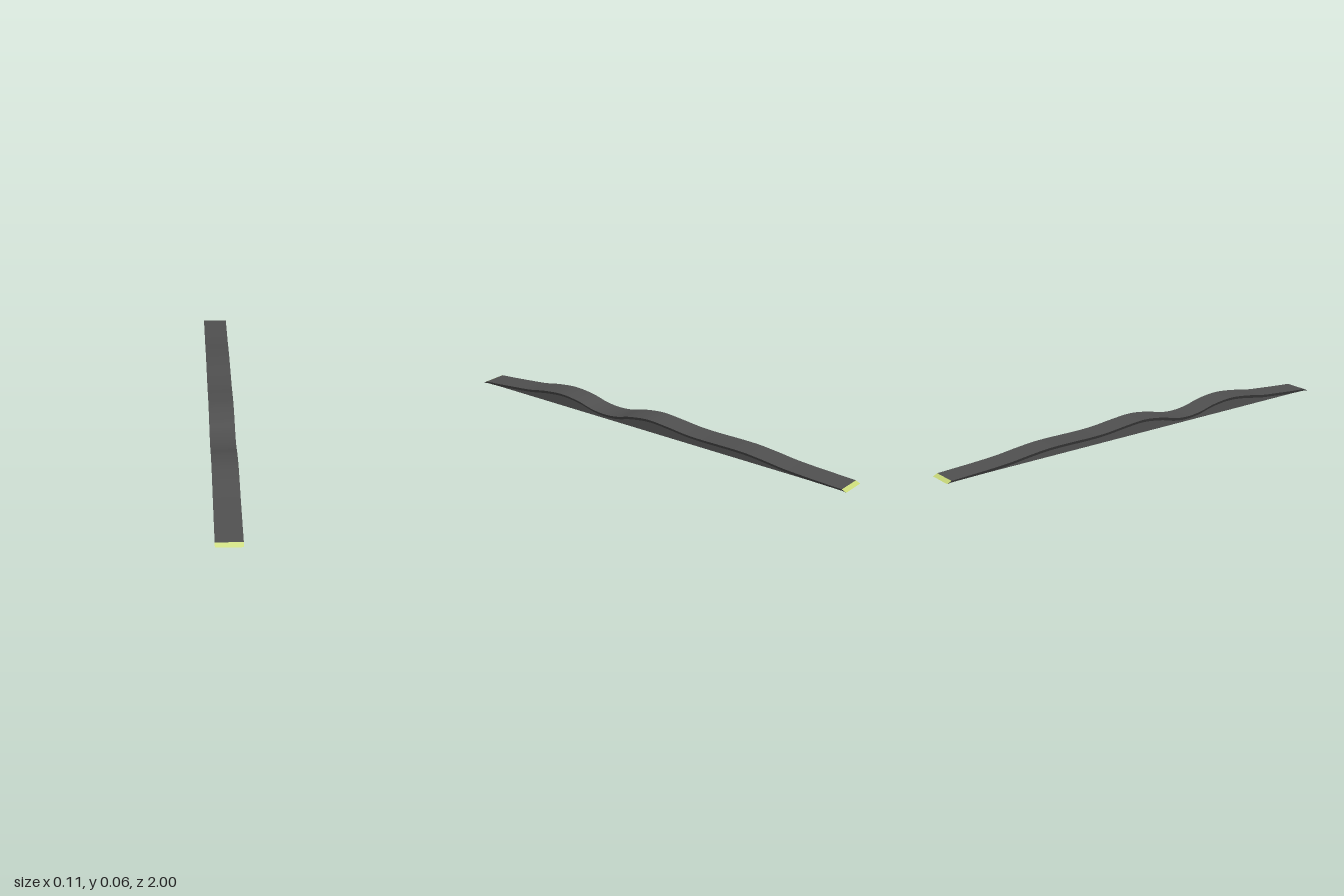
import * as THREE from 'three';

const HALF = 0.055;   // half width of the deck
const LIP = 0.015;    // height of the sloping lip under the deck edge
const INSET = 0.01;   // how far the side walls sit inside the deck edge

// Height of the deck along z, front to back
const PROFILE = [
  [0.98, 0.01], [0.9, 0.016], [0.8, 0.025], [0.7, 0.035], [0.6, 0.052], [0.5, 0.06],
  [0.4, 0.05], [0.32, 0.031], [0.25, 0.024], [0.18, 0.029], [0.1, 0.048], [0, 0.06],
  [-0.1, 0.054], [-0.2, 0.044], [-0.27, 0.041], [-0.5, 0.041], [-0.6, 0.033],
  [-0.7, 0.022], [-0.8, 0.016], [-0.9, 0.012], [-0.98, 0.009],
];

// Corners of one cross-section, clockwise seen from the front
function section(z, h) {
  const x = HALF - INSET * Math.min(1, h / LIP);
  const y = Math.max(0, h - LIP);
  return [[-HALF, h, z], [HALF, h, z], [x, y, z], [x, 0, z], [-x, 0, z], [-x, y, z]];
}

// One face strip of the cross-section swept along the length
function strip(name, sections, side, material) {
  const pos = [], index = [];
  sections.forEach((s, i) => {
    pos.push(...s[side], ...s[(side + 1) % 6]);
    if (i > 0) {
      const a = 2 * (i - 1);
      index.push(a, a + 1, a + 3, a, a + 3, a + 2);
    }
  });
  const geo = new THREE.BufferGeometry();
  geo.setAttribute('position', new THREE.Float32BufferAttribute(pos, 3));
  geo.setIndex(index);
  geo.computeVertexNormals();
  const mesh = new THREE.Mesh(geo, material);
  mesh.name = name;
  return mesh;
}

export function createModel() {
  const grey = new THREE.MeshStandardMaterial({ color: 0x505050 });
  grey.name = 'dark grey';
  const yellow = new THREE.MeshStandardMaterial({ color: 0xc8d878 });
  yellow.name = 'pale yellow';

  const curve = new THREE.CatmullRomCurve3(PROFILE.map(([z, h]) => new THREE.Vector3(0, h, z)));
  const middle = curve.getPoints(160).map((p) => section(p.z, p.y));
  const front = section(1, 0), back = section(-1, 0);
  const all = [front, ...middle, back];

  const group = new THREE.Group();
  group.name = 'wavyRamp';

  // Rolling deck and the yellow sloped strips at both ends
  group.add(strip('deck', middle, 0, grey));
  group.add(strip('frontEdgeStrip', [front, middle[0]], 0, yellow));
  group.add(strip('backEdgeStrip', [middle[middle.length - 1], back], 0, yellow));

  // Undercut lips, side walls and flat base
  ['leftLip', 'leftWall', 'base', 'rightWall', 'rightLip'].forEach((name, i) => {
    group.add(strip(name, all, i + 1, grey));
  });
  return group;
}
